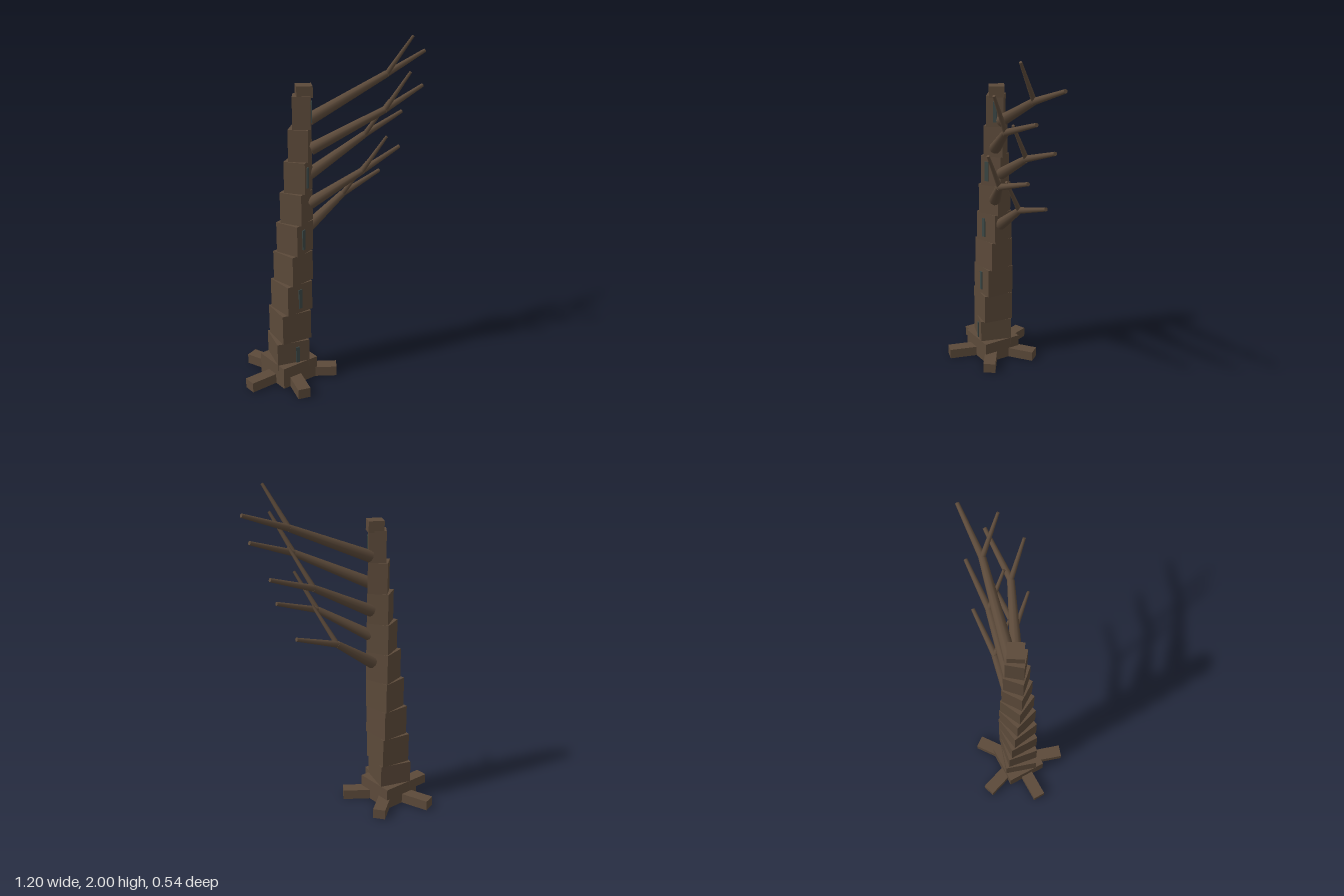
import * as THREE from 'three';

const bark = new THREE.MeshStandardMaterial({ color: 0x5c4a3a });
const glass = new THREE.MeshStandardMaterial({ color: 0x3c4846 });
const CX = -0.317, CZ = -0.016;

export function createModel() {
  const group = new THREE.Group();

  const box = (name, w, h, d, x, y, z, turn, material = bark) => {
    const mesh = new THREE.Mesh(new THREE.BoxGeometry(w, h, d), material);
    mesh.name = name;
    mesh.position.set(x, y, z);
    mesh.rotation.y = turn;
    group.add(mesh);
  };

  // tapered round limb between two points
  const limb = (name, parent, a, b, r0, r1) => {
    const dir = b.clone().sub(a);
    const mesh = new THREE.Mesh(new THREE.CylinderGeometry(r1, r0, dir.length(), 10), bark);
    mesh.name = name;
    mesh.position.copy(a).addScaledVector(dir, 0.5);
    mesh.quaternion.setFromUnitVectors(new THREE.Vector3(0, 1, 0), dir.normalize());
    parent.add(mesh);
  };

  // five flat roots around a square base
  const rootLength = 0.286;
  for (let i = 0; i < 5; i++) {
    const a = (i * Math.PI * 2) / 5, r = rootLength / 2;
    box('root', 0.074, 0.06, rootLength, CX + Math.sin(a) * r, 0.03, CZ + Math.cos(a) * r, a);
  }
  box('base', 0.242, 0.13, 0.242, CX, 0.065, CZ, 0.3);

  // leaning trunk of twisted, shrinking blocks
  const width = k => 0.196 - 0.0119 * k;
  const centreX = k => CX + 0.0133 * k;
  const twist = k => 0.15 * k;
  for (let k = 0; k < 10; k++) {
    const top = k < 9 ? 0.265 + 0.1806 * k : 1.765;
    const bottom = k < 9 ? top - 0.1806 : 1.7;
    box('trunkBlock', width(k), top - bottom, width(k), centreX(k), (top + bottom) / 2, CZ, twist(k));
  }

  // narrow windows on every second block, slid sideways along the face
  [0.025, 0, -0.017, -0.025, 0].forEach((slide, i) => {
    const k = i * 2, t = twist(k), h = width(k) / 2;
    box('window', 0.022, 0.118, 0.012,
      centreX(k) + Math.sin(t) * h + Math.cos(t) * slide, 0.172 + 0.3612 * i,
      CZ + Math.cos(t) * h - Math.sin(t) * slide, t, glass);
  });

  // five branches on one side, alternating backward and forward
  for (let i = 0; i < 5; i++) {
    const odd = i % 2;
    const start = new THREE.Vector3(-0.185 + 0.006 * i, 0.925 + 0.16 * i, odd ? 0 : -0.037);
    const joint = new THREE.Vector3(0.055 + 0.067 * i, 1.09 + 0.171 * i, odd ? 0.048 : -0.085);
    const end = new THREE.Vector3(0.32 + 0.069 * i, 1.18 + 0.174 * i, odd ? -0.038 : -0.16);
    const tip = new THREE.Vector3(0.162 + 0.0675 * i, 1.3 + 0.174 * i, odd ? 0.138 : 0.02);
    const branch = new THREE.Group();
    branch.name = 'branch';
    limb('branchBase', branch, start, joint, 0.035, 0.02);
    limb('branchEnd', branch, joint, end, 0.019, 0.011);
    limb('twig', branch, joint, tip, 0.015, 0.008);
    group.add(branch);
  }
  return group;
}
